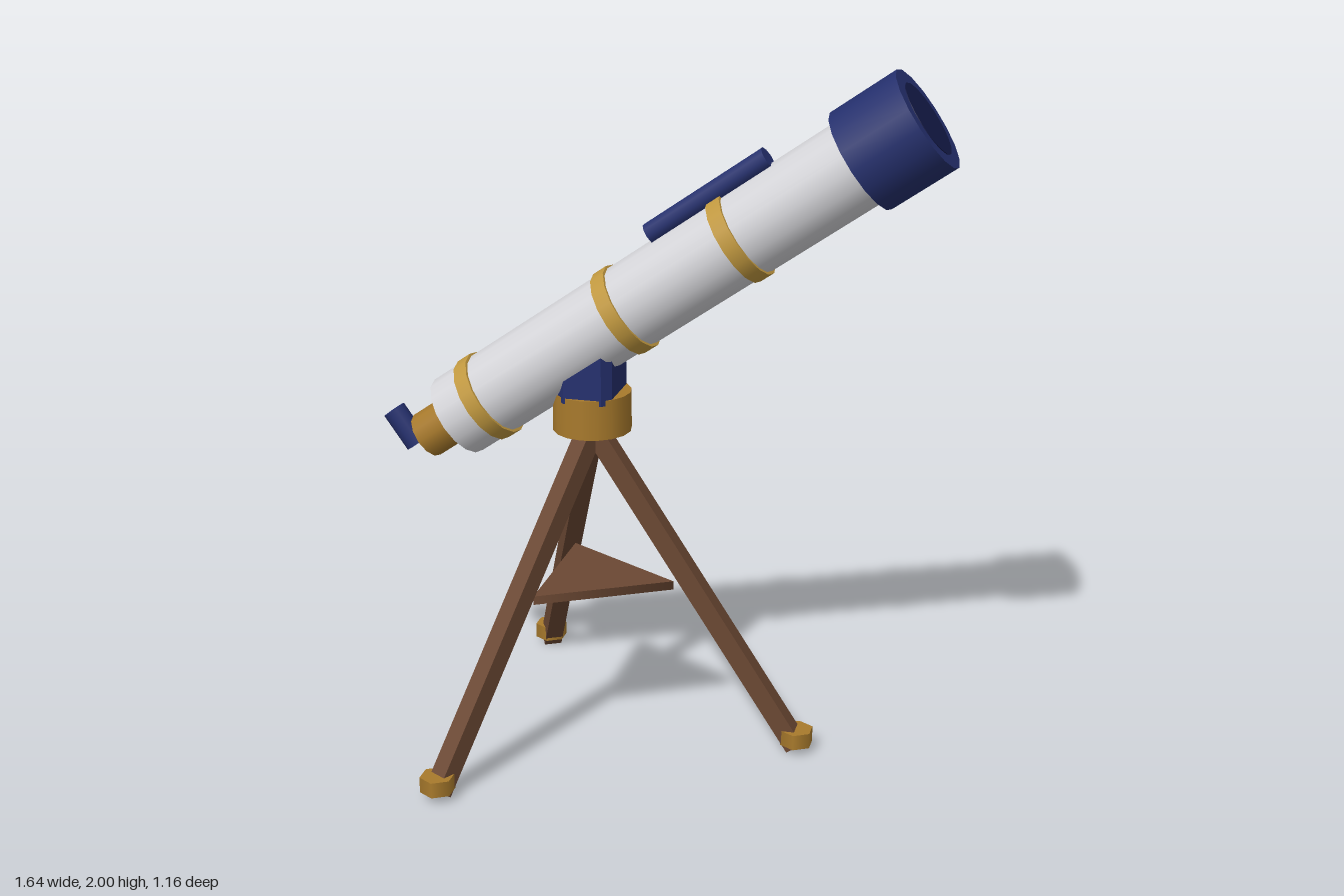
import * as THREE from 'three';

const mat = (name, color) => {
  const m = new THREE.MeshStandardMaterial({ color });
  m.name = name;
  return m;
};

export function createModel() {
  const white = mat('tubeWhite', 0xd6d6da);
  const navy = mat('navy', 0x25306e);
  const dark = mat('lensDark', 0x141a48);
  const brass = mat('brightBrass', 0xc39a40);
  const gold = mat('oldGold', 0xa87a2c);
  const wood = mat('wood', 0x6b4833);

  const model = new THREE.Group();
  model.name = 'telescope';
  const add = (parent, name, geometry, material, x = 0, y = 0, z = 0) => {
    const mesh = new THREE.Mesh(geometry, material);
    mesh.name = name;
    mesh.position.set(x, y, z);
    parent.add(mesh);
    return mesh;
  };
  const cyl = (r, h, n = 16) => new THREE.CylinderGeometry(r, r, h, n);

  // Optical assembly: local y runs along the tube from its rear end, local -x is its upper side
  const optics = new THREE.Group();
  optics.name = 'opticalTube';
  optics.position.set(-0.595, 0.955, 0);
  optics.rotation.z = THREE.MathUtils.degToRad(35 - 90);
  model.add(optics);

  add(optics, 'mainTube', cyl(0.124, 1.5), white, 0, 0.75);
  add(optics, 'dewCap', cyl(0.152, 0.21), navy, 0, 1.512);
  add(optics, 'lens', cyl(0.11, 0.004), dark, 0, 1.617);
  for (const t of [0.117, 0.617, 1.014]) {
    add(optics, 'tubeRing', cyl(0.132, 0.045), brass, 0, t);
  }
  add(optics, 'finderScope', cyl(0.033, 0.4, 10), navy, -0.14, 1.0);
  add(optics, 'focuser', cyl(0.07, 0.14, 12), gold, 0, -0.053);
  const eyepiece = add(optics, 'eyepiece', cyl(0.035, 0.12, 10), navy, -0.055, -0.165);
  eyepiece.rotation.z = Math.PI / 2;

  // Mount: round hub with a chamfered block reaching up into the tube
  const cx = -0.19;
  add(model, 'mountHub', cyl(0.113, 0.116), gold, cx, 1.008);
  const a = 0.08, b = 0.1, c = 0.025;
  const outline = new THREE.Shape([
    [a, c - b], [a, b - c], [a - c, b], [c - a, b],
    [-a, b - c], [-a, c - b], [c - a, -b], [a - c, -b],
  ].map(([x, y]) => new THREE.Vector2(x, y)));
  const block = new THREE.ExtrudeGeometry(outline, { depth: 0.17, bevelEnabled: false });
  block.rotateX(-Math.PI / 2);
  add(model, 'mountBlock', block, navy, cx, 1.05);

  // Tripod: three splayed square legs with hexagonal feet
  const reach = 0.612, top = 0.96, bottom = 0.02;
  for (let i = 0; i < 3; i++) {
    const angle = (i * 2 * Math.PI) / 3;
    const leg = new THREE.Group();
    leg.name = 'tripodLeg';
    leg.position.x = cx;
    leg.rotation.y = angle;
    model.add(leg);
    const beam = add(leg, 'legBeam',
      new THREE.BoxGeometry(0.055, Math.hypot(reach, top - bottom), 0.055),
      wood, reach / 2, (top + bottom) / 2);
    beam.rotation.z = Math.atan2(reach, top - bottom);
    add(model, 'foot', cyl(0.05, 0.046, 6), gold,
      cx + reach * Math.cos(angle), 0.05, -reach * Math.sin(angle));
  }

  // Triangular tray between the legs
  const tray = new THREE.CylinderGeometry(0.24, 0.24, 0.026, 3);
  tray.rotateY(Math.PI / 2);
  add(model, 'tray', tray.toNonIndexed(), wood, cx, 0.487);

  return model;
}
